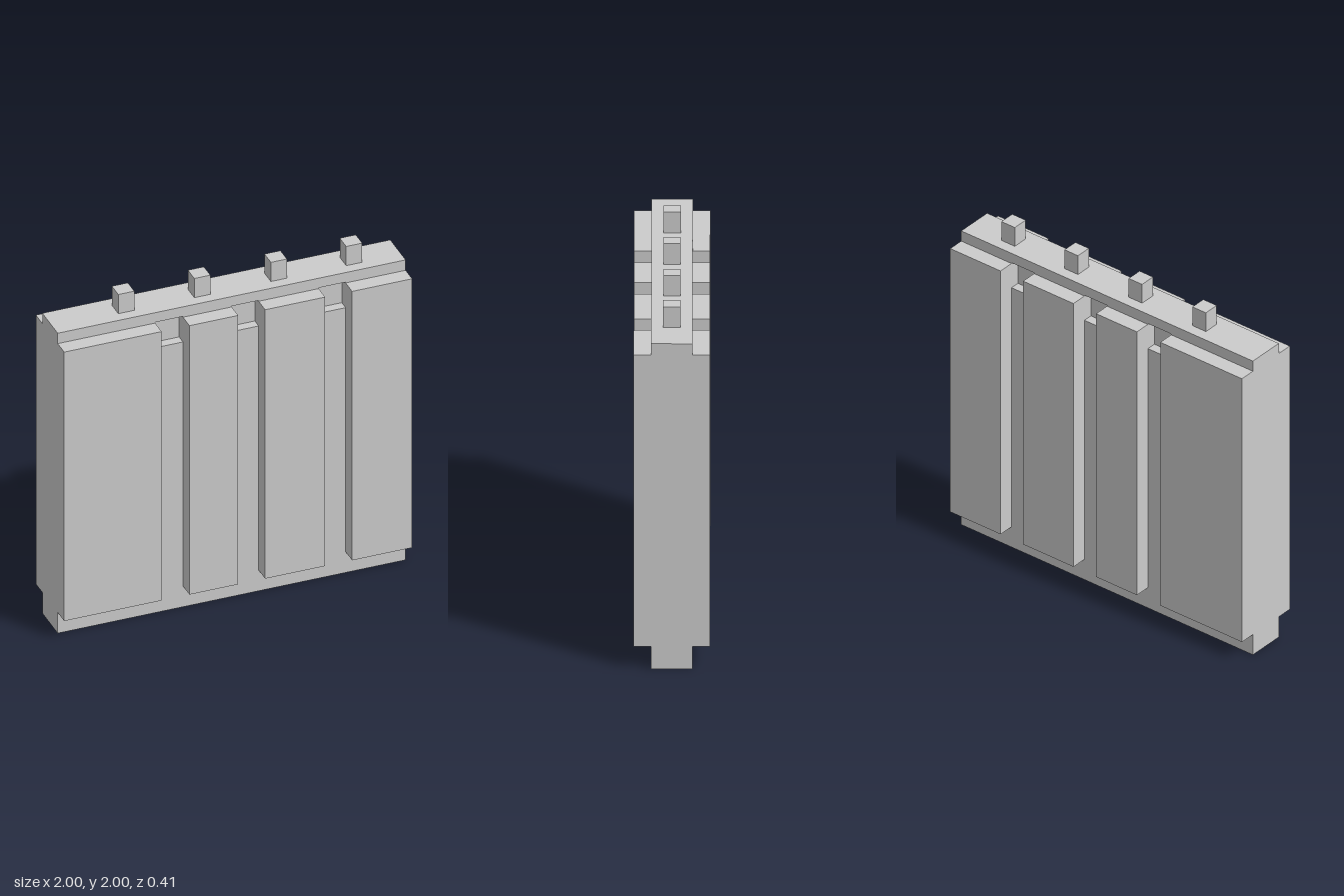
import * as THREE from 'three';

const material = new THREE.MeshStandardMaterial({ color: 0xcccccc, flatShading: true });

// Key dimensions
const CORE_TOP = 1.88;
const CORE_Z = 0.11;
const WEB_Z = 0.055;
const PANEL_Z = 0.203;
const PANEL_Y = [0.13, 1.815];
const RECESS_Y = [1.66, 1.82];
const PANELS = [[-1, -0.44], [-0.28, 0], [0.155, 0.5], [0.655, 1]];
const PEGS_X = [-0.58, -0.143, 0.297, 0.73];

// Box given by its minimum and maximum on each axis
function box(name, [x0, x1], [y0, y1], [z0, z1]) {
  const mesh = new THREE.Mesh(new THREE.BoxGeometry(x1 - x0, y1 - y0, z1 - z0), material);
  mesh.position.set((x0 + x1) / 2, (y0 + y1) / 2, (z0 + z1) / 2);
  mesh.name = name;
  return mesh;
}

function rectangle(path, [x0, x1], [y0, y1]) {
  path.moveTo(x0, y0).lineTo(x1, y0).lineTo(x1, y1).lineTo(x0, y1).closePath();
  return path;
}

export function createModel() {
  const model = new THREE.Group();
  model.name = 'wallSection';

  // Inner web that forms the floor of the recesses
  model.add(box('coreWeb', [-1, 1], [0, CORE_TOP], [-WEB_Z, WEB_Z]));

  // Core faces, with a recess at the top of each gap between panels
  const face = rectangle(new THREE.Shape(), [-1, 1], [0, CORE_TOP]);
  for (let i = 0; i < PANELS.length - 1; i++) {
    face.holes.push(rectangle(new THREE.Path(), [PANELS[i][1], PANELS[i + 1][0]], RECESS_Y));
  }
  const faceGeometry = new THREE.ExtrudeGeometry(face, { depth: CORE_Z - WEB_Z, bevelEnabled: false });
  for (const [name, z] of [['frontCoreFace', WEB_Z], ['backCoreFace', -CORE_Z]]) {
    const mesh = new THREE.Mesh(faceGeometry, material);
    mesh.position.z = z;
    mesh.name = name;
    model.add(mesh);
  }

  // Raised panels, the same on both sides
  for (const span of PANELS) {
    model.add(box('frontPanel', span, PANEL_Y, [CORE_Z, PANEL_Z]));
    model.add(box('backPanel', span, PANEL_Y, [-PANEL_Z, -CORE_Z]));
  }

  // Square pegs along the top edge
  for (const x of PEGS_X) {
    model.add(box('topPeg', [x - 0.046, x + 0.046], [CORE_TOP, 2], [-0.046, 0.046]));
  }

  return model;
}
